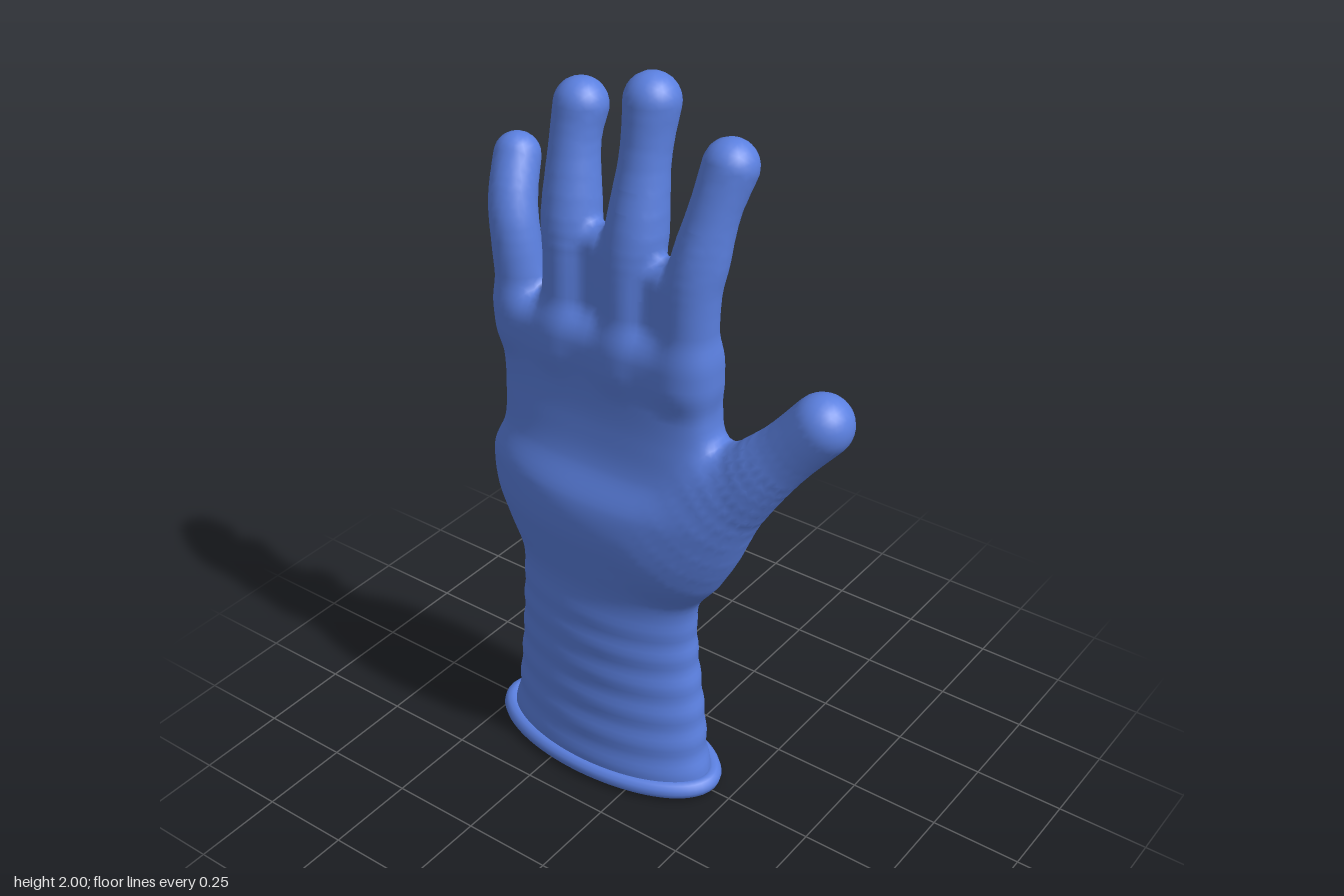
import * as THREE from 'three';
import { ParametricGeometry } from 'three/addons/geometries/ParametricGeometry.js';

// Sleeve and palm outline every 0.1 in height: [x min, x max, z min, z max]
const SECTIONS = [
  [-0.49, 0.18, -0.155, 0.155], [-0.465, 0.16, -0.148, 0.148], [-0.455, 0.15, -0.145, 0.138],
  [-0.447, 0.138, -0.14, 0.13], [-0.44, 0.125, -0.137, 0.125], [-0.435, 0.12, -0.13, 0.12],
  [-0.437, 0.13, -0.125, 0.115], [-0.475, 0.19, -0.14, 0.135], [-0.51, 0.235, -0.165, 0.155],
  [-0.513, 0.245, -0.16, 0.15], [-0.468, 0.215, -0.12, 0.105], [-0.46, 0.18, -0.11, 0.088],
  [-0.465, 0.17, -0.108, 0.083], [-0.475, 0.168, -0.1, 0.085], [-0.48, 0.168, -0.09, 0.08],
];

// Finger centre lines from base to tip: [x, y, z, radius]
const FINGERS = [
  [[-0.405, 1.28, -0.005, 0.07], [-0.43, 1.5, 0, 0.063], [-0.452, 1.6, -0.02, 0.062], [-0.475, 1.69, -0.07, 0.06]],
  [[-0.26, 1.28, 0, 0.078], [-0.257, 1.5, 0, 0.069], [-0.262, 1.61, -0.015, 0.076], [-0.272, 1.78, -0.045, 0.063], [-0.27, 1.872, -0.07, 0.068]],
  [[-0.07, 1.28, 0, 0.08], [-0.07, 1.5, 0, 0.075], [-0.065, 1.62, -0.015, 0.078], [-0.062, 1.8, -0.045, 0.062], [-0.06, 1.93, -0.07, 0.07]],
  [[0.095, 1.28, 0, 0.075], [0.108, 1.5, 0, 0.069], [0.12, 1.6, -0.015, 0.07], [0.14, 1.72, -0.04, 0.062], [0.158, 1.822, -0.075, 0.068]],
];
const THUMB = [[0.07, 0.78, -0.01, 0.13], [0.19, 0.94, -0.01, 0.11], [0.285, 1.06, -0.02, 0.092], [0.365, 1.15, -0.035, 0.079], [0.45, 1.25, -0.05, 0.079]];
// Webs between the longer fingers
const WEBS = [
  [[-0.165, 1.3, 0, 0.05], [-0.163, 1.56, -0.005, 0.045]],
  [[0.025, 1.3, 0, 0.05], [0.03, 1.52, 0, 0.045]],
];

// Smooth interpolation through rows of numbers
function sample(rows, t) {
  const n = rows.length - 1;
  t = Math.min(Math.max(t, 0), n);
  const i = Math.min(Math.floor(t), n - 1), f = t - i;
  const [a, b, c, d] = [-1, 0, 1, 2].map(o => rows[Math.min(Math.max(i + o, 0), n)]);
  return b.map((v, k) => v + 0.5 * f * (c[k] - a[k]
    + f * (2 * a[k] - 5 * v + 4 * c[k] - d[k] + f * (3 * (v - c[k]) + d[k] - a[k]))));
}

function section(y) {
  const [l, r, b, f] = sample(SECTIONS, y * 10);
  return { cx: (l + r) / 2, rx: (r - l) / 2, cz: (b + f) / 2, rz: (f - b) / 2 };
}

const refine = rows => Array.from({ length: 15 }, (_, i) => sample(rows, i / 14 * (rows.length - 1)));
const fingerPaths = [...FINGERS, ...WEBS].map(refine);
const thumbPath = refine(THUMB);

const smoothMin = (a, b, k) => {
  const h = Math.max(k - Math.abs(a - b), 0) / k;
  return Math.min(a, b) - h * h * k / 4;
};

// Distance to a tapered round tube
function tubeDistance(path, x, y, z) {
  let best = Infinity;
  for (let i = 0; i < path.length - 1; i++) {
    const a = path[i], b = path[i + 1];
    const ux = b[0] - a[0], uy = b[1] - a[1], uz = b[2] - a[2];
    const px = x - a[0], py = y - a[1], pz = z - a[2];
    const h = Math.min(Math.max((px * ux + py * uy + pz * uz) / (ux * ux + uy * uy + uz * uz), 0), 1);
    const d = Math.sqrt((px - h * ux) ** 2 + (py - h * uy) ** 2 + (pz - h * uz) ** 2);
    best = Math.min(best, d - a[3] - h * (b[3] - a[3]));
  }
  return best;
}

// Sleeve and palm: oval at the wrist, flatter across the palm, faint folds on the sleeve
function palmDistance(x, y, z) {
  const { cx, rx, cz, rz } = section(y);
  const p = 2 + 1.4 * THREE.MathUtils.smoothstep(y, 0.85, 1.1);
  const u = Math.abs(x - cx) / rx + 1e-6, v = Math.abs(z - cz) / rz + 1e-6;
  const f = (u ** p + v ** p) ** (1 / p);
  const slope = f ** (1 - p) * Math.hypot(u ** (p - 1) / rx, v ** (p - 1) / rz);
  const folds = 0.002 * Math.sin(y * 68) * (1 - THREE.MathUtils.smoothstep(y, 0.45, 0.6));
  return -smoothMin(-(f - 1) / slope - folds, 1.37 - y, 0.06);
}

function gloveDistance(x, y, z) {
  let fingers = Infinity;
  for (const path of fingerPaths) {
    const d = tubeDistance(path, x, y, z);
    fingers = fingers === Infinity ? d : smoothMin(fingers, d, 0.04);
  }
  const hand = smoothMin(palmDistance(x, y, z), tubeDistance(thumbPath, x, y, z), 0.07);
  return smoothMin(hand, fingers, 0.05);
}

// Skins a distance field with one vertex per crossed grid cell
function skin(field, min, size, step) {
  const n = size.map(s => Math.ceil(s / step) + 1);
  const stride = [1, n[0], n[0] * n[1]];
  const values = new Float32Array(n[0] * n[1] * n[2]);
  const cells = new Int32Array(values.length).fill(-1);
  const positions = [], normals = [], index = [];
  const each = (trim, visit) => {
    for (let k = 0; k < n[2] - trim; k++)
      for (let j = 0; j < n[1] - trim; j++)
        for (let i = 0; i < n[0] - trim; i++) visit([i, j, k], i + j * stride[1] + k * stride[2]);
  };
  const gradient = p => {
    const e = 0.004;
    return new THREE.Vector3(
      field(p.x + e, p.y, p.z) - field(p.x - e, p.y, p.z),
      field(p.x, p.y + e, p.z) - field(p.x, p.y - e, p.z),
      field(p.x, p.y, p.z + e) - field(p.x, p.y, p.z - e)).divideScalar(2 * e);
  };
  each(0, (c, id) => { values[id] = field(...c.map((v, a) => min[a] + v * step)); });

  // Vertices, pulled onto the surface
  each(1, (c, id) => {
    let inside = 0;
    for (let q = 0; q < 8; q++)
      if (values[id + (q & 1) + (q >> 1 & 1) * stride[1] + (q >> 2) * stride[2]] < 0) inside++;
    if (inside === 0 || inside === 8) return;
    const p = new THREE.Vector3(...c.map((v, a) => min[a] + (v + 0.5) * step));
    for (let r = 0; r < 4; r++) {
      const g = gradient(p);
      const move = -field(p.x, p.y, p.z) / Math.max(g.lengthSq(), 0.2);
      p.addScaledVector(g, THREE.MathUtils.clamp(move, -step, step));
    }
    cells[id] = positions.length / 3;
    positions.push(p.x, p.y, p.z);
    normals.push(...gradient(p).normalize().toArray());
  });

  // One quad around each crossed grid edge
  each(1, (c, id) => {
    for (let a = 0; a < 3; a++) {
      const inside = values[id] < 0;
      const b = (a + 1) % 3, d = (a + 2) % 3;
      if (inside === values[id + stride[a]] < 0 || c[b] === 0 || c[d] === 0) continue;
      const q = [id - stride[b] - stride[d], id - stride[d], id, id - stride[b]].map(v => cells[v]);
      if (q.includes(-1)) continue;
      if (!inside) q.reverse();
      index.push(q[0], q[1], q[2], q[0], q[2], q[3]);
    }
  });
  const geometry = new THREE.BufferGeometry();
  geometry.setAttribute('position', new THREE.Float32BufferAttribute(positions, 3));
  geometry.setAttribute('normal', new THREE.Float32BufferAttribute(normals, 3));
  geometry.setIndex(index);
  return geometry;
}

export function createModel() {
  const group = new THREE.Group();
  group.name = 'glove';
  const blue = new THREE.MeshStandardMaterial({ color: 0x5b80e0 });
  blue.name = 'blue rubber';
  const add = (name, geometry) => {
    const mesh = new THREE.Mesh(geometry, blue);
    mesh.name = name;
    group.add(mesh);
  };

  // Sleeve, palm, thumb and fingers in one skin
  add('gloveSkin', skin(gloveDistance, [-0.6, 0.015, -0.23], [1.2, 2.04, 0.46], 0.0175));

  // Inner wall, facing inward and closing inside the palm
  add('lining', new ParametricGeometry((u, v, target) => {
    const y = 0.03 + 1.2 * v, s = section(y), angle = u * Math.PI * 2;
    const close = Math.sqrt(Math.max(1 - v ** 8, 0));
    target.set(s.cx + (s.rx - 0.014) * close * Math.cos(angle), y,
      s.cz + (s.rz - 0.014) * close * Math.sin(angle));
  }, 64, 40));

  // Rolled bead around the opening
  const ring = Array.from({ length: 32 }, (_, i) => {
    const angle = i / 32 * Math.PI * 2;
    return new THREE.Vector3(-0.157 + 0.337 * Math.cos(angle), 0.025, 0.148 * Math.sin(angle));
  });
  add('cuffRim', new THREE.TubeGeometry(new THREE.CatmullRomCurve3(ring, true), 96, 0.025, 12, true));

  return group;
}
